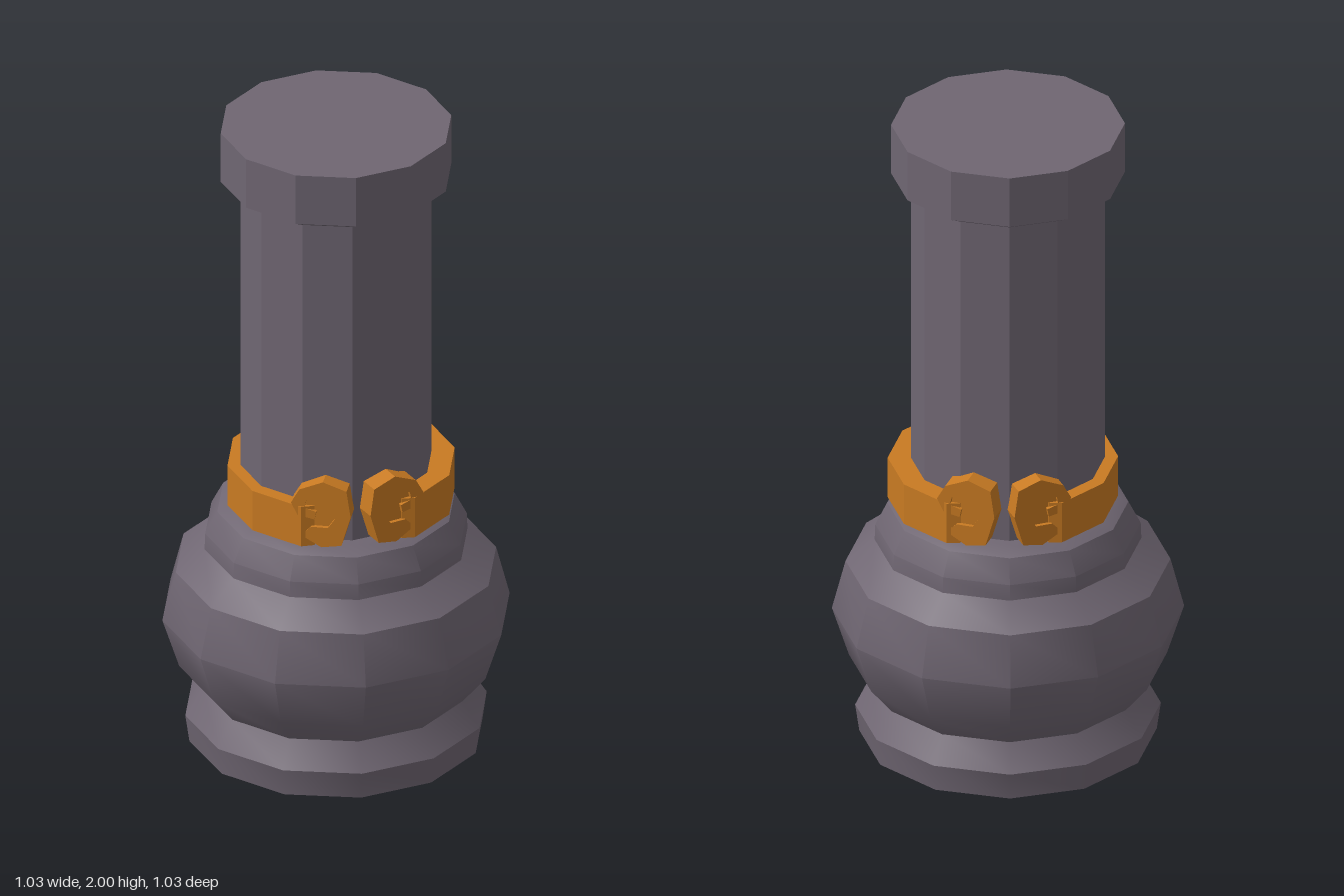
import * as THREE from 'three';
import { toCreasedNormals } from 'three/addons/utils/BufferGeometryUtils.js';

const SIDES = 12;
const rad = THREE.MathUtils.degToRad;
const vec = ([x, y]) => new THREE.Vector2(x, y);

// Twelve-sided turned part; a small crease angle gives flat facets
function turned(name, profile, crease, material) {
  const lathe = new THREE.LatheGeometry(profile.map(vec), SIDES);
  const mesh = new THREE.Mesh(toCreasedNormals(lathe, crease), material);
  mesh.name = name;
  return mesh;
}

function plate(name, points, depth, material) {
  const geometry = new THREE.ExtrudeGeometry(new THREE.Shape(points.map(vec)), { depth, bevelEnabled: false });
  const mesh = new THREE.Mesh(geometry, material);
  mesh.name = name;
  return mesh;
}

// Outer edge of the curl, followed by its inner tip and return edge
const CURL_OUTER = [
  [0.06, -0.07], [0, -0.105], [-0.06, -0.095], [-0.0875, 0],
  [-0.075, 0.085], [-0.005, 0.11], [0.065, 0.08], [0.09, 0.035],
];
const CURL_INNER = [
  [0.07, -0.005], [0.02, -0.015], [0.015, 0.01], [0.05, 0.02], [0.045, 0.045],
  [0, 0.06], [-0.035, 0.04], [-0.04, -0.01], [-0.02, -0.04], [0.03, -0.04],
];

// Scroll at the end of a band: a thick plate with a raised spiral
function createScroll(degrees, flip, material) {
  const scroll = new THREE.Group();
  scroll.name = 'scroll';
  const mirror = (points) => points.map(([x, y]) => [x * flip, y]);
  const body = plate('scrollBody', mirror(CURL_OUTER), 0.055, material);
  body.position.z = 0.26;
  const spiral = plate('scrollSpiral', mirror([...CURL_OUTER, ...CURL_INNER]), 0.012, material);
  spiral.position.z = 0.315;
  scroll.add(body, spiral);
  scroll.position.y = 0.875;
  scroll.rotation.y = rad(degrees);
  return scroll;
}

// Half-ring band with a scroll at each end
function createClasp(material) {
  const clasp = new THREE.Group();
  clasp.name = 'clasp';
  const arc = (radius, endRadius) => [24, 30, 60, 90, 120, 150, 156].map((a, i) => {
    const r = i === 0 || i === 6 ? endRadius : radius;
    return [r * Math.sin(rad(a)), r * Math.cos(rad(a))];
  });
  const band = plate('band', [...arc(0.337, 0.318), ...arc(0.265, 0.262).reverse()], 0.13, material);
  band.rotation.x = -Math.PI / 2;
  band.position.y = 0.77;
  clasp.add(band, createScroll(20, 1, material), createScroll(160, -1, material));
  return clasp;
}

export function createModel() {
  const stone = new THREE.MeshStandardMaterial({ color: 0x6f6672 });
  stone.name = 'stone';
  const gold = new THREE.MeshStandardMaterial({ color: 0xc87a22 });
  gold.name = 'gold';

  const model = new THREE.Group();
  model.name = 'pillar';

  // Rounded base with foot and collar
  model.add(turned('base', [
    [0, 0], [0.435, 0], [0.447, 0.085], [0.395, 0.165], [0.465, 0.25],
    [0.515, 0.405], [0.475, 0.56], [0.39, 0.63], [0.388, 0.68],
    [0.352, 0.75], [0.31, 0.772], [0, 0.772],
  ], rad(35), stone));

  // Shaft and flared cap
  model.add(turned('shaft', [[0.284, 0.76], [0.284, 1.815]], 0.1, stone));
  model.add(turned('cap', [[0, 1.808], [0.284, 1.808], [0.342, 1.84], [0.342, 2], [0, 2]], 0.1, stone));

  // Two facing clasps around the foot of the shaft
  const ring = new THREE.Group();
  ring.name = 'ornamentRing';
  ring.position.x = 0.015;
  for (const turn of [0, Math.PI]) {
    const clasp = createClasp(gold);
    clasp.rotation.y = turn;
    ring.add(clasp);
  }
  model.add(ring);
  return model;
}
